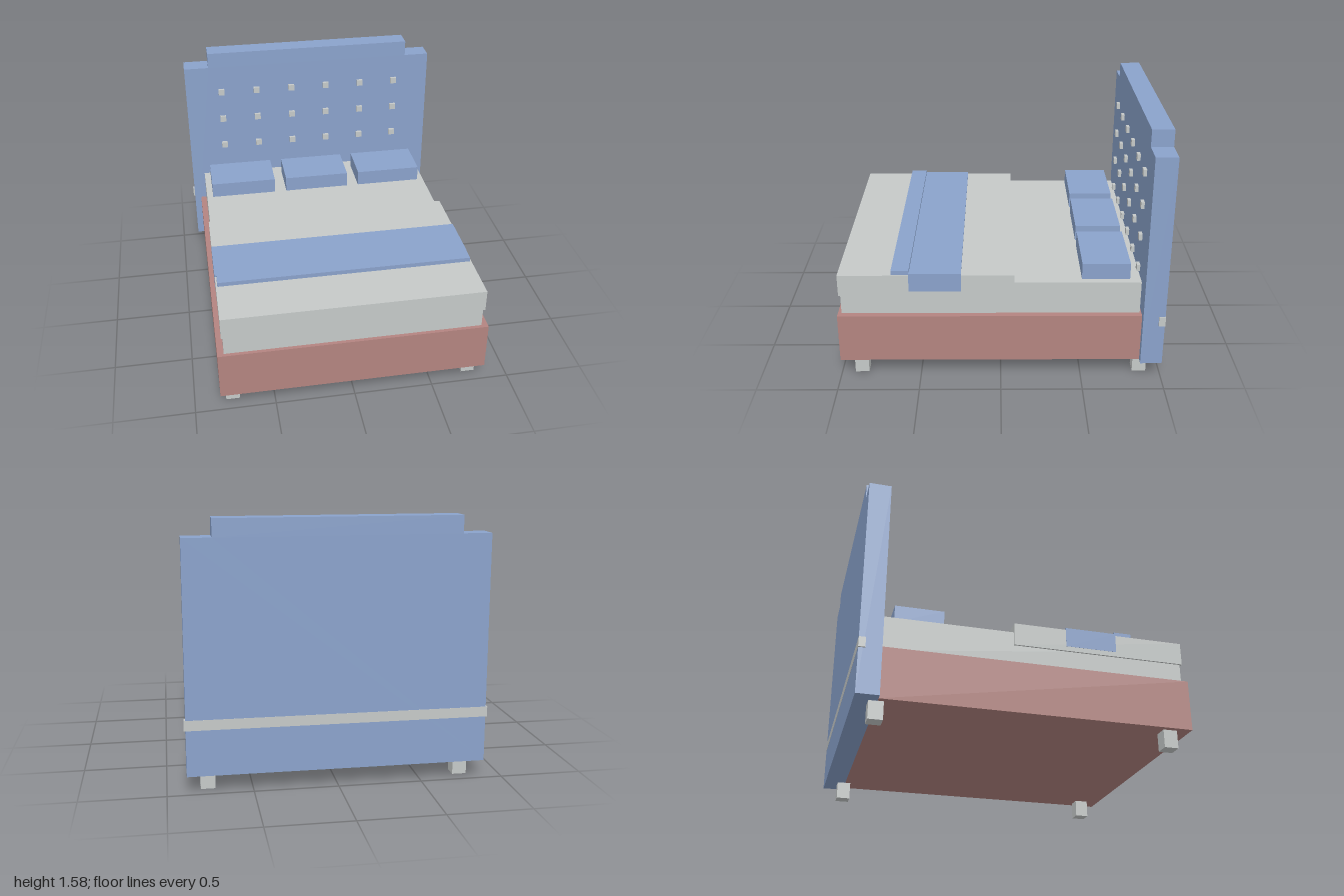
import * as THREE from 'three';

const material = (name, color) => {
  const m = new THREE.MeshStandardMaterial({ color });
  m.name = name;
  return m;
};

export function createModel() {
  const bed = new THREE.Group();
  bed.name = 'bed';
  const blue = material('blueFabric', 0x8aa2cb);
  const grey = material('lightGrey', 0xc5c9c8);
  const red = material('dustyRed', 0xb38480);

  // Box given by its extents along each axis
  const box = (name, mat, [x0, x1], [y0, y1], [z0, z1]) => {
    const mesh = new THREE.Mesh(new THREE.BoxGeometry(x1 - x0, y1 - y0, z1 - z0), mat);
    mesh.position.set((x0 + x1) / 2, (y0 + y1) / 2, (z0 + z1) / 2);
    mesh.name = name;
    bed.add(mesh);
  };

  // Base and feet
  box('bedFrame', red, [-0.84, 0.84], [0.11, 0.424], [-0.87, 1]);
  for (const x of [-0.762, 0.762])
    for (const z of [-0.873, 0.873])
      box('foot', grey, [x - 0.043, x + 0.043], [0, 0.112], [z - 0.043, z + 0.043]);

  // Bedding
  box('mattress', grey, [-0.8, 0.8], [0.42, 0.635], [-0.855, 0.977]);
  box('duvet', grey, [-0.81, 0.81], [0.55, 0.69], [-0.082, 0.988]);
  box('throwBlanket', blue, [-0.811, 0.811], [0.58, 0.702], [0.24, 0.558]);
  box('throwFold', blue, [-0.8, 0.8], [0.66, 0.718], [0.555, 0.663]);
  for (const x of [-0.532, 0, 0.532])
    box('pillow', blue, [x - 0.225, x + 0.225], [0.63, 0.738], [-0.79, -0.496]);

  // Headboard with stepped top corners
  const outline = new THREE.Shape([
    [-0.885, 0.109], [0.885, 0.109], [0.885, 1.477], [0.715, 1.477],
    [0.715, 1.582], [-0.715, 1.582], [-0.715, 1.477], [-0.885, 1.477],
  ].map(([x, y]) => new THREE.Vector2(x, y)));
  const headboard = new THREE.Mesh(
    new THREE.ExtrudeGeometry(outline, { depth: 0.134, bevelEnabled: false }), blue);
  headboard.position.z = -0.999;
  headboard.name = 'headboard';
  bed.add(headboard);

  // Square studs on the headboard
  for (const y of [0.655, 0.866, 1.078, 1.289])
    for (let i = 0; i < 6; i++) {
      const x = (i - 2.5) * 0.253;
      box('stud', grey, [x - 0.021, x + 0.021], [y - 0.021, y + 0.021], [-0.87, -0.844]);
    }

  // Rail let into the back of the headboard
  box('backRail', grey, [-0.895, 0.895], [0.383, 0.444], [-1, -0.96]);
  return bed;
}
